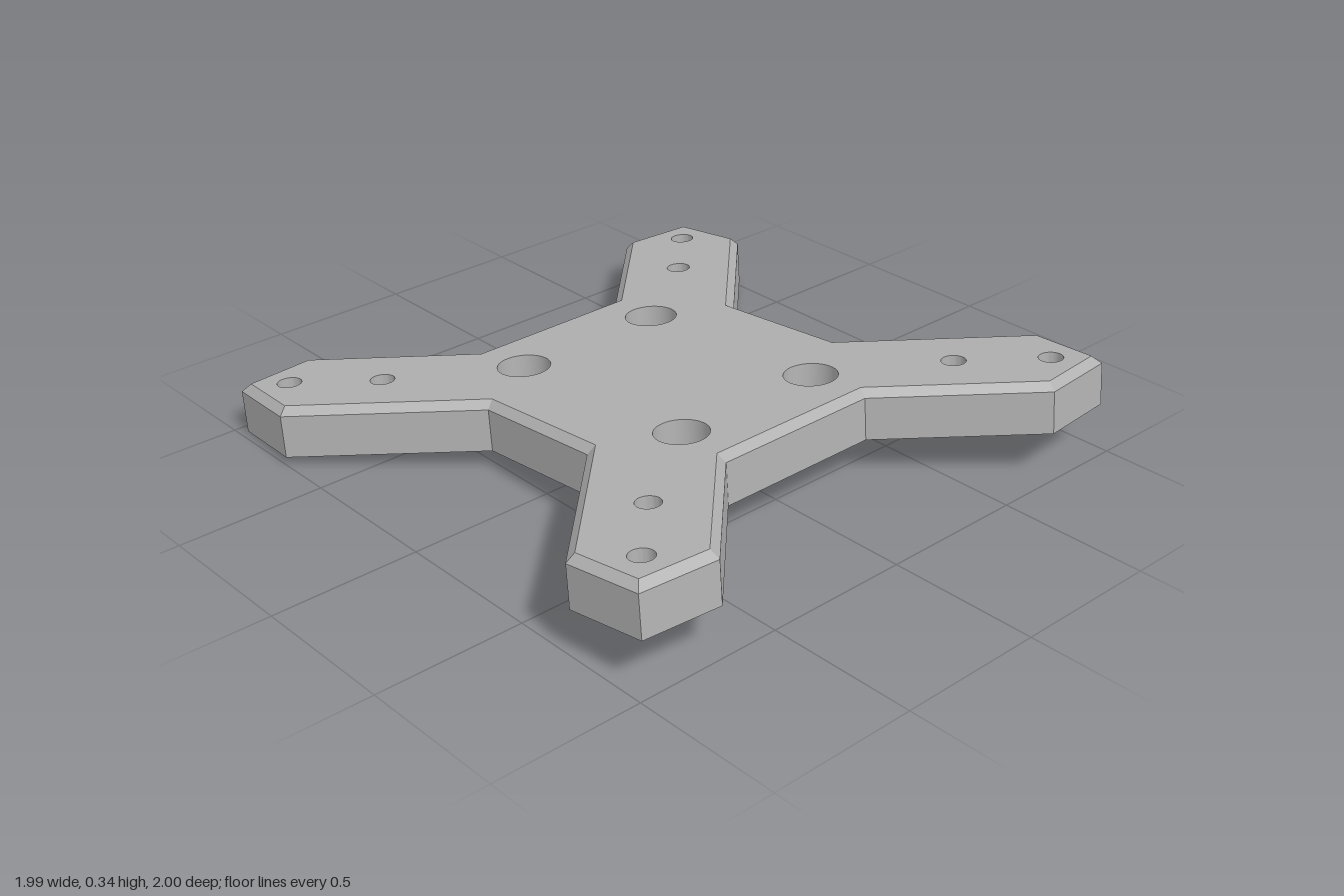
import * as THREE from 'three';
import { mergeGeometries, toCreasedNormals } from 'three/addons/utils/BufferGeometryUtils.js';

const H = 0.084;          // half thickness of the plate
const BEVEL = 0.026;
const TILT = THREE.MathUtils.degToRad(5);

const v2 = (x, z) => new THREE.Vector2(x, z);

const circle = (cx, cz, r, n = 36) => Array.from({ length: n }, (_, i) => {
  const a = (i / n) * Math.PI * 2;
  return v2(cx + r * Math.cos(a), cz + r * Math.sin(a));
});

// X-shaped outline: one quadrant mirrored around, counter-clockwise in (x, z)
function plateOutline() {
  const q = [[0.53, 0.24], [0.997, 0.705], [0.973, 0.973], [0.705, 0.997], [0.295, 0.59]];
  const r = [...q].reverse();
  return [
    ...q.map(([x, z]) => v2(x, z)),
    ...r.map(([x, z]) => v2(-x, z)),
    ...q.map(([x, z]) => v2(-x, -z)),
    ...r.map(([x, z]) => v2(x, -z)),
  ];
}

// Mitred inset of a closed loop
function inset(loop, d) {
  const n = loop.length;
  return loop.map((p, i) => {
    const a = p.clone().sub(loop[(i + n - 1) % n]).normalize();
    const b = loop[(i + 1) % n].clone().sub(p).normalize();
    const na = v2(-a.y, a.x), nb = v2(-b.y, b.x);
    return p.clone().addScaledVector(na.clone().add(nb), d / (1 + na.dot(nb)));
  });
}

// Band between two loops; faces outward going up, inward going down
function band(A, yA, B, yB) {
  const pos = [];
  const put = (p, y) => pos.push(p.x, y, p.y);
  A.forEach((p, i) => {
    const j = (i + 1) % A.length;
    put(A[i], yA); put(B[i], yB); put(A[j], yA);
    put(A[j], yA); put(B[i], yB); put(B[j], yB);
  });
  const g = new THREE.BufferGeometry();
  g.setAttribute('position', new THREE.Float32BufferAttribute(pos, 3));
  return g;
}

// Flat face with holes, facing up or down
function cap(loop, holes, y, up) {
  const s = new THREE.Shape(loop);
  holes.forEach((h) => s.holes.push(new THREE.Path(h)));
  const g = new THREE.ShapeGeometry(s).toNonIndexed();
  g.rotateX(up ? -Math.PI / 2 : Math.PI / 2).translate(0, y, 0);
  g.deleteAttribute('uv');
  g.deleteAttribute('normal');
  return g;
}

export function createModel() {
  const grey = new THREE.MeshStandardMaterial({ color: 0xb0b0b0 });
  grey.name = 'plainGrey';

  const outer = plateOutline();
  const top = inset(outer, BEVEL);
  const parts = [band(outer, -H, outer, H - BEVEL), band(outer, H - BEVEL, top, H)];
  const topHoles = [], bottomHoles = [];

  // Stepped bore: upper radius, step height, lower radius
  const bore = (x, z, rTop, yStep, rLow) => {
    const a = circle(x, z, rTop), b = circle(x, z, rLow);
    parts.push(band(a, H, a, yStep), band(a, yStep, b, yStep), band(b, yStep, b, -H));
    topHoles.push(a);
    bottomHoles.push(b);
  };

  for (const sx of [-1, 1]) for (const sz of [-1, 1]) {
    // Screw hole sunk from above, two arm holes widened from below
    bore(sx * 0.275, sz * 0.378, 0.087, -0.026, 0.047);
    for (const d of [0.645, 0.86]) bore(sx * d, sz * d, 0.04, 0.01, 0.074);

    // Narrow slit along the underside of each arm
    const dir = v2(sx, sz).normalize();
    const slit = [[0.345, -0.139], [1.06, -0.139], [1.06, -0.123], [0.345, -0.123]]
      .map(([u, v]) => v2(u * dir.x - v * dir.y, u * dir.y + v * dir.x));
    parts.push(band(slit, -0.034, slit, -H), cap(slit, [], -0.034, false));
    bottomHoles.push(slit);
  }

  parts.push(cap(top, topHoles, H, true), cap(outer, bottomHoles, -H, false));

  const plate = new THREE.Mesh(toCreasedNormals(mergeGeometries(parts), 0.4), grey);
  plate.name = 'mountingPlate';
  plate.rotation.x = -TILT;
  plate.position.y = H * Math.cos(TILT) + 0.997 * Math.sin(TILT);

  const group = new THREE.Group();
  group.name = 'crossBracket';
  group.add(plate);
  return group;
}
